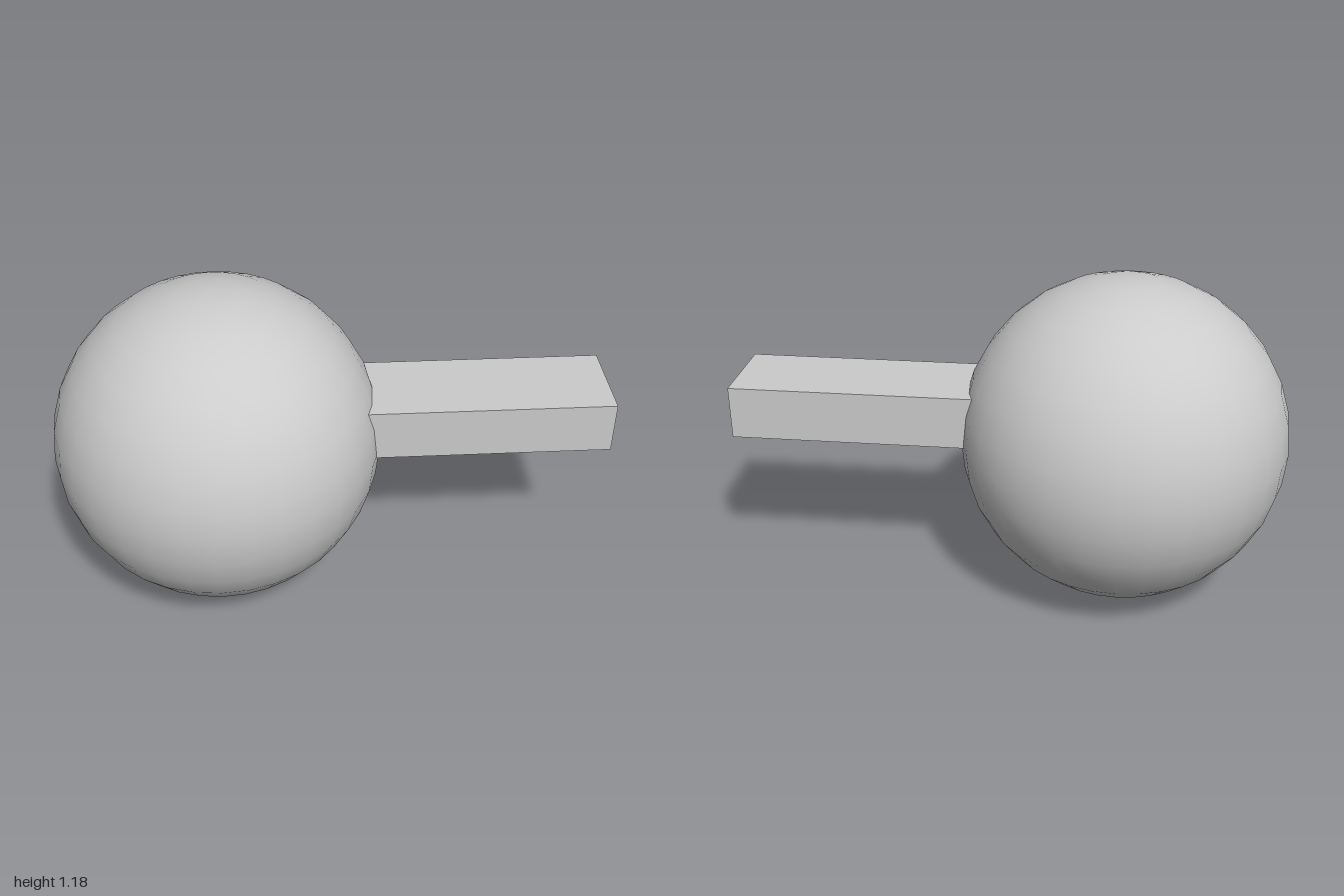
import * as THREE from 'three';

export function createModel() {
  const model = new THREE.Group();
  const material = new THREE.MeshStandardMaterial({ color: 0xcccccc });

  // Smooth ball resting on the ground
  const radius = 0.59;
  const ball = new THREE.Mesh(new THREE.SphereGeometry(radius, 32, 16), material);
  ball.name = 'ball';
  ball.position.set(-0.41, radius, 0);

  // Rectangular bar, its inner end sunk into the ball
  const inner = 0.05, outer = 1, bottom = 0.58, top = 0.772;
  const bar = new THREE.Mesh(new THREE.BoxGeometry(outer - inner, top - bottom, 0.326), material);
  bar.name = 'bar';
  bar.position.set((inner + outer) / 2, (bottom + top) / 2, 0);

  model.add(ball, bar);
  return model;
}
